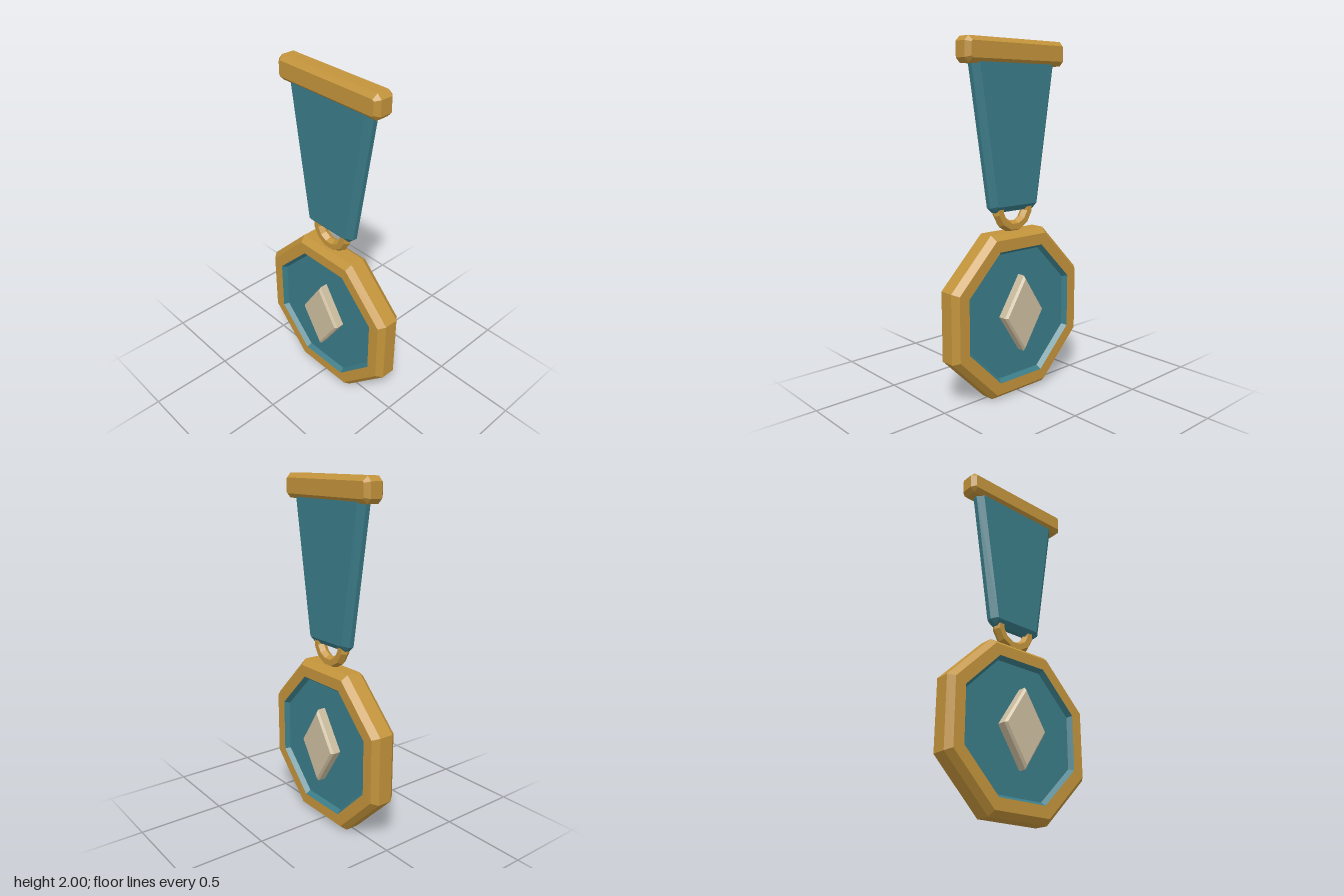
import * as THREE from 'three';

const gold = new THREE.MeshStandardMaterial({ color: 0xc2933b });
gold.name = 'gold';
const teal = new THREE.MeshStandardMaterial({ color: 0x3a7b87 });
teal.name = 'teal enamel';
const ivory = new THREE.MeshStandardMaterial({ color: 0xcbbc9e });
ivory.name = 'ivory stone';

// Faceted skin through outlines [points, z]; points run counter-clockwise.
function loft(rings, capStart = true, capEnd = true) {
  const pos = [];
  const put = (p, z) => pos.push(p[0], p[1], z);
  const n = rings[0][0].length;
  for (let i = 0; i < rings.length - 1; i++) {
    const [A, za] = rings[i], [B, zb] = rings[i + 1];
    for (let j = 0; j < n; j++) {
      const k = (j + 1) % n;
      put(A[j], za); put(A[k], za); put(B[k], zb);
      put(A[j], za); put(B[k], zb); put(B[j], zb);
    }
  }
  const cap = ([P, z], flip) => {
    for (let j = 1; j < n - 1; j++) {
      put(P[0], z); put(P[flip ? j + 1 : j], z); put(P[flip ? j : j + 1], z);
    }
  };
  if (capStart) cap(rings[0], true);
  if (capEnd) cap(rings[rings.length - 1], false);
  const g = new THREE.BufferGeometry();
  g.setAttribute('position', new THREE.Float32BufferAttribute(pos, 3));
  g.computeVertexNormals();
  return g;
}

// Plate with the same chamfer on front and back
const bevelPlate = (face, edge, zFace, zEdge) =>
  loft([[face, -zFace], [edge, -zEdge], [edge, zEdge], [face, zFace]]);

// Octagon with flat sides up, down, left and right
function octagon(apothem) {
  const r = apothem / Math.cos(Math.PI / 8);
  return Array.from({ length: 8 }, (_, i) => {
    const a = (i + 0.5) * Math.PI / 4;
    return [r * Math.cos(a), r * Math.sin(a)];
  });
}

const rhombus = (w, h) => [[w, 0], [0, h], [-w, 0], [0, -h]];

// Rectangle with cut corners
const cutRect = (w, h, c) => [
  [w, -h + c], [w, h - c], [w - c, h], [-w + c, h],
  [-w, h - c], [-w, -h + c], [-w + c, -h], [w - c, -h],
];

// Mirrors a right-hand outline, listed bottom to top, across x = 0
const mirrored = (half) => [...half, ...half.slice().reverse().map(([x, y]) => [-x, y])];

export function createModel() {
  const model = new THREE.Group();
  model.name = 'medal';
  const add = (name, geometry, material, y = 0, parent = model) => {
    const mesh = new THREE.Mesh(geometry, material);
    mesh.name = name;
    mesh.position.y = y;
    parent.add(mesh);
    return mesh;
  };

  // Octagonal medallion: rim, recessed enamel on both sides, stone
  const medallion = new THREE.Group();
  medallion.name = 'medallion';
  medallion.position.y = 0.475;
  model.add(medallion);
  const rim = [[0.38, -0.078], [0.445, -0.078], [0.475, -0.042],
    [0.475, 0.042], [0.445, 0.078], [0.38, 0.078]];
  add('rim', loft(rim.map(([a, z]) => [octagon(a), z]), false, false), gold, 0, medallion);
  const dish = loft([[octagon(0.38), 0.078], [octagon(0.361), 0.05]], false, true);
  add('frontEnamel', dish, teal, 0, medallion);
  add('backEnamel', dish, teal, 0, medallion).rotation.y = Math.PI;
  add('stone', bevelPlate(rhombus(0.131, 0.204), rhombus(0.145, 0.224), 0.11, 0.097),
    ivory, 0.003, medallion);

  // Hanging ring
  const ringGeo = new THREE.TorusGeometry(0.109, 0.034, 6, 12);
  ringGeo.rotateZ(Math.PI / 12);
  const ring = ringGeo.toNonIndexed();
  ring.computeVertexNormals();
  add('ring', ring, gold, 1.08);

  // Tapered ribbon
  const ribbonFace = mirrored([[0.138, 1.097], [0.143, 1.102], [0.27, 1.9]]);
  const ribbonEdge = mirrored([[0.142, 1.063], [0.177, 1.092], [0.305, 1.9]]);
  add('ribbon', bevelPlate(ribbonFace, ribbonEdge, 0.045, 0.014), teal);

  // Top bar
  add('topBar', bevelPlate(cutRect(0.335, 0.043, 0.008), cutRect(0.36, 0.068, 0.026), 0.062, 0.036),
    gold, 1.932);

  return model;
}
